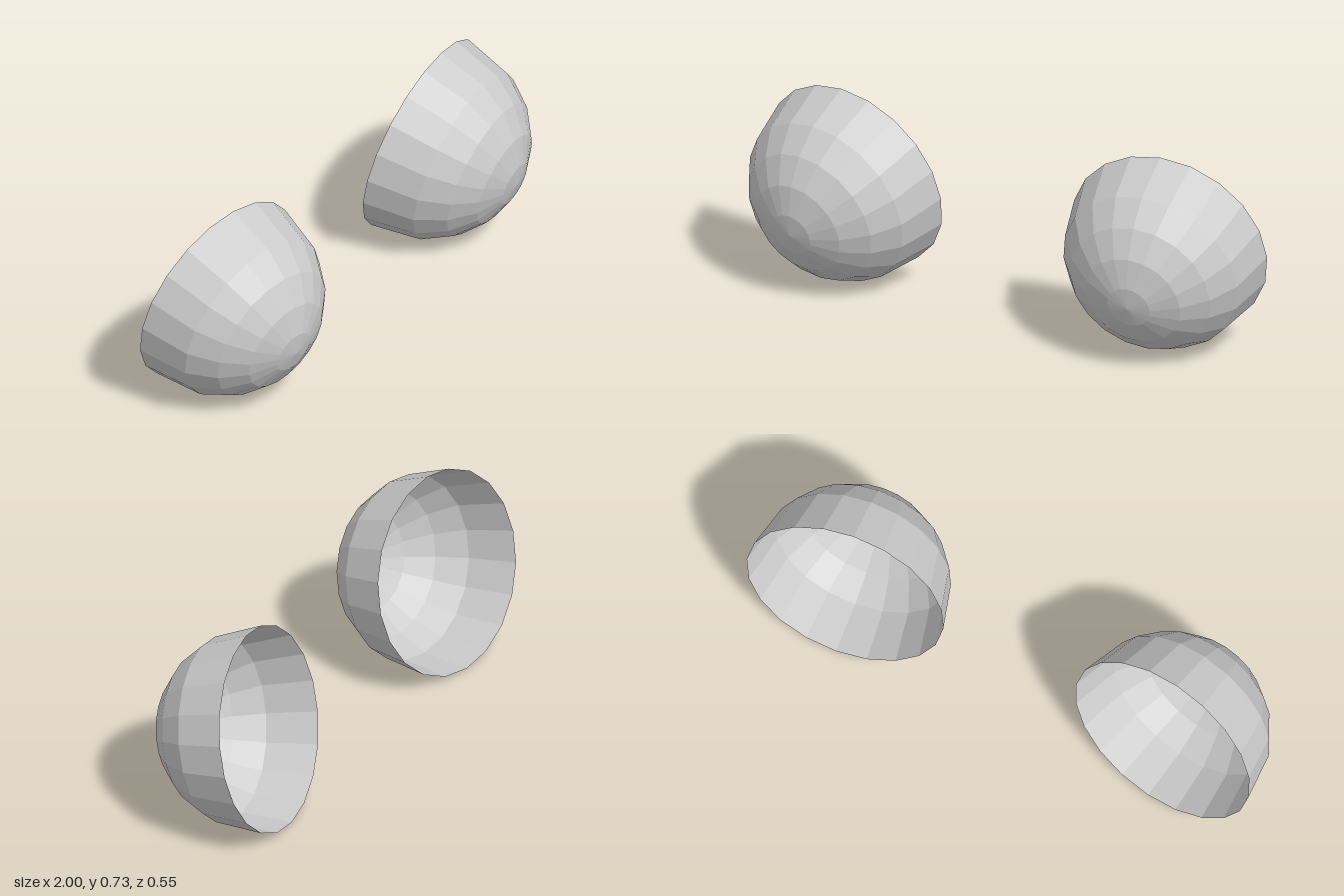
import * as THREE from 'three';

// Cup profile: [radius, distance along the axis], from the open rim to the pole
const PROFILE = [[0.374, 0], [0.334, 0.188], [0.268, 0.288], [0.181, 0.36], [0.081, 0.402], [0, 0.414]];

export function createModel() {
  const model = new THREE.Group();
  const material = new THREE.MeshStandardMaterial({
    color: 0xcccccc, flatShading: true, side: THREE.DoubleSide,
  });

  // Faceted open bowl with its pole pointing to +z
  const bowl = new THREE.LatheGeometry(PROFILE.map(([r, h]) => new THREE.Vector2(r, h)), 20);
  bowl.rotateX(Math.PI / 2);

  // Each bowl tips down and turns outward; the left one sits slightly further back
  const addCup = (name, side, z) => {
    const cup = new THREE.Mesh(bowl, material);
    cup.name = name;
    cup.position.set(side * 0.629, 0.371, z);
    cup.rotation.set(0.243, side * 0.124, 0, 'YXZ');
    model.add(cup);
  };
  addCup('leftCup', 1, -0.172);
  addCup('rightCup', -1, -0.135);

  return model;
}
